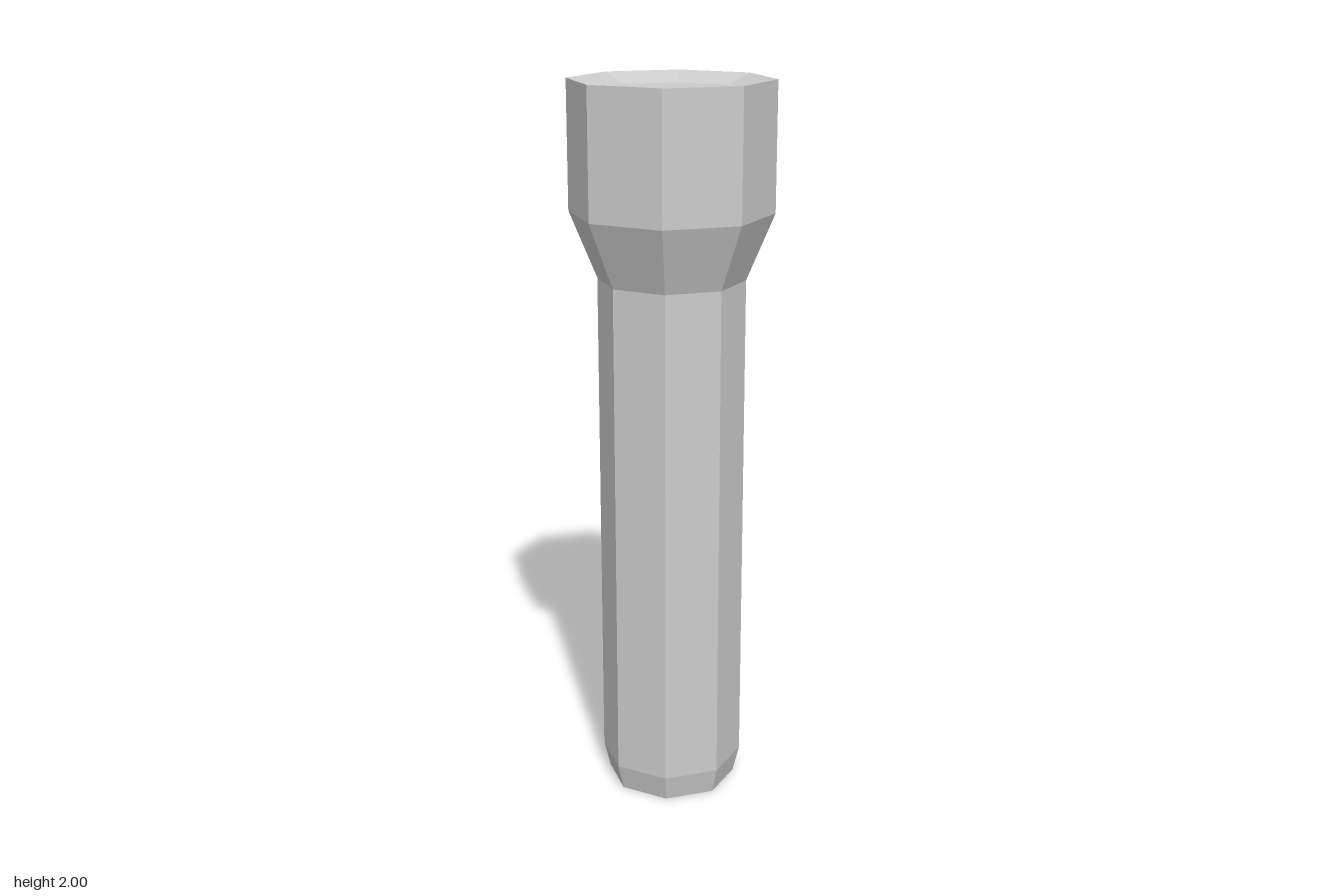
import * as THREE from 'three';

const SIDES = 8;

export function createModel() {
  const group = new THREE.Group();
  group.name = 'flashlight';
  const material = new THREE.MeshStandardMaterial({ color: 0xcccccc, flatShading: true });

  // Eight-sided part turned from a [radius, height] profile, listed bottom to top on the outside
  const turned = (name, profile) => {
    const points = profile.map(([r, y]) => new THREE.Vector2(r, y));
    const mesh = new THREE.Mesh(new THREE.LatheGeometry(points, SIDES), material);
    mesh.name = name;
    group.add(mesh);
  };

  // Closed, bevelled end of the handle
  turned('tailCap', [[0, 0], [0.182, 0], [0.2, 0.075]]);
  // Long straight grip
  turned('handle', [[0.2, 0.075], [0.2, 1.475]]);
  // Flared neck, wide head and the rim sloping in to the lens
  turned('head', [[0.2, 1.475], [0.275, 1.655], [0.275, 2], [0.2, 1.972]]);

  // Flat lens, slightly sunk below the rim
  const lens = new THREE.Mesh(new THREE.CircleGeometry(0.2, SIDES), material);
  lens.name = 'lens';
  lens.rotation.x = -Math.PI / 2;
  lens.position.y = 1.972;
  group.add(lens);

  return group;
}
